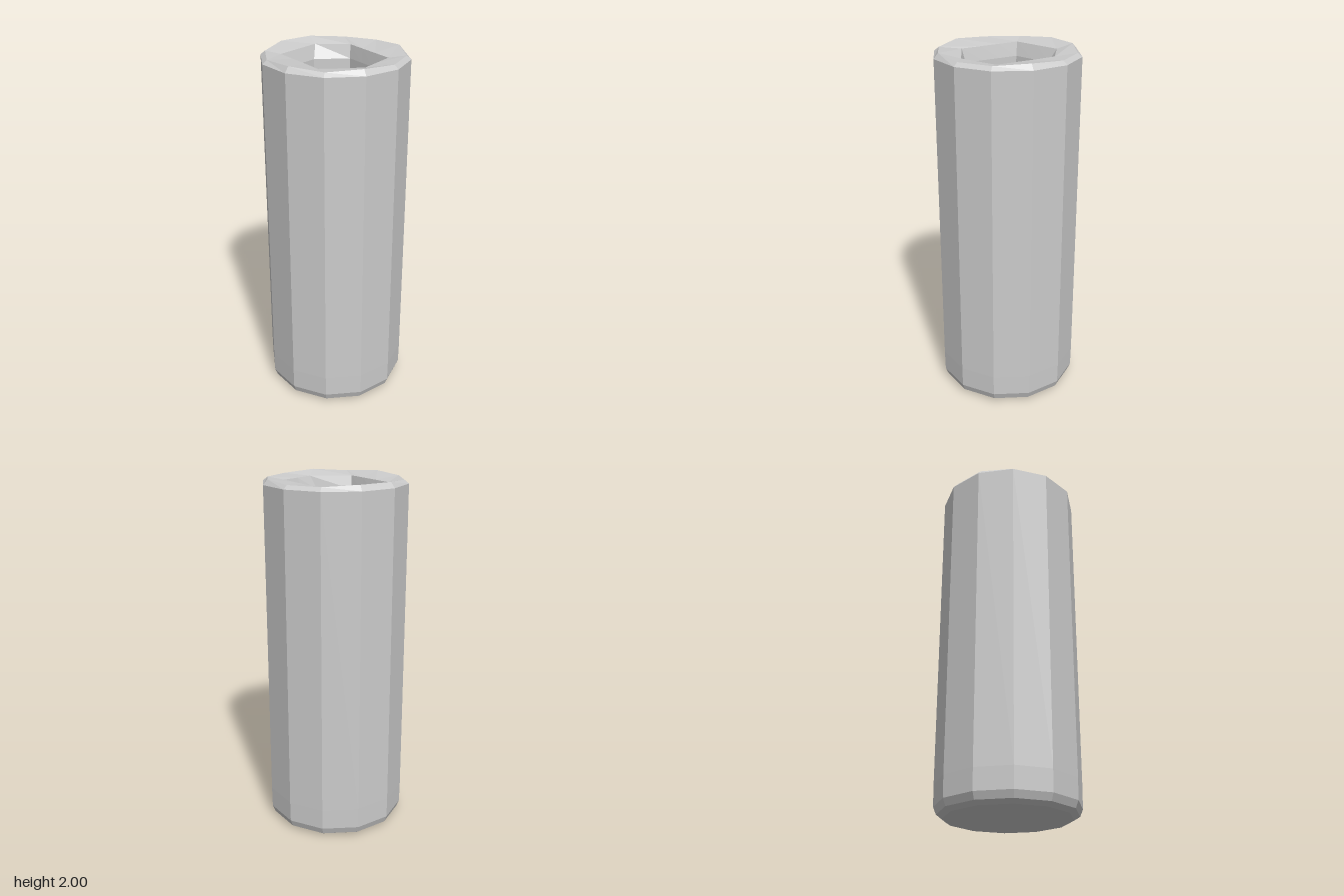
import * as THREE from 'three';

const SIDES = 12;

// Twelve-sided ring of the outer wall
function outerRing(radius, y) {
  return Array.from({ length: SIDES }, (_, k) => {
    const a = (k / SIDES) * Math.PI * 2;
    return new THREE.Vector3(Math.cos(a) * radius, y, Math.sin(a) * radius);
  });
}

// Uneven six-sided ring of the cavity, split to twelve points to match the outer wall
const SLOTS = [0, 2, 3, 6, 8, 9];
function innerRing(corners, y) {
  const ring = [];
  corners.forEach(([x, z], i) => {
    const [nx, nz] = corners[(i + 1) % 6];
    const steps = (i === 5 ? SIDES : SLOTS[i + 1]) - SLOTS[i];
    for (let s = 0; s < steps; s++) {
      const t = s / steps;
      ring.push(new THREE.Vector3(x + (nx - x) * t, y, z + (nz - z) * t));
    }
  });
  return ring;
}

// Skin consecutive rings, with optional flat caps at the first and last ring
function skin(rings, capFirst, capLast) {
  const pos = [];
  const tri = (...pts) => pts.forEach((p) => pos.push(p.x, p.y, p.z));
  const centre = (ring) => new THREE.Vector3(0, ring[0].y, 0);
  for (let i = 0; i < rings.length - 1; i++) {
    for (let k = 0; k < SIDES; k++) {
      const n = (k + 1) % SIDES;
      const [a, b, c, d] = [rings[i][k], rings[i][n], rings[i + 1][n], rings[i + 1][k]];
      tri(a, d, c);
      tri(a, c, b);
    }
  }
  const first = rings[0];
  const last = rings[rings.length - 1];
  for (let k = 0; k < SIDES; k++) {
    const n = (k + 1) % SIDES;
    if (capFirst) tri(centre(first), first[k], first[n]);
    if (capLast) tri(centre(last), last[n], last[k]);
  }
  const geo = new THREE.BufferGeometry();
  geo.setAttribute('position', new THREE.Float32BufferAttribute(pos, 3));
  geo.computeVertexNormals();
  return geo;
}

export function createModel() {
  const group = new THREE.Group();
  group.name = 'tumbler';
  const material = new THREE.MeshStandardMaterial({ color: 0xcccccc, flatShading: true });
  const add = (name, geometry) => {
    const mesh = new THREE.Mesh(geometry, material);
    mesh.name = name;
    group.add(mesh);
  };

  const mouth = [[0.28, 0], [0.18, 0.205], [-0.05, 0.26], [-0.29, 0], [-0.145, -0.245], [0.05, -0.26]];
  const cavity = [[0.265, 0], [0.14, 0.205], [-0.05, 0.24], [-0.265, 0], [-0.145, -0.2], [0.05, -0.245]];

  // Rounded base with its flat underside
  add('base', skin([
    outerRing(0.35, 0), outerRing(0.382, 0.02), outerRing(0.398, 0.06), outerRing(0.4, 0.18),
  ], true, false));

  // Straight outer wall
  add('outerWall', skin([outerRing(0.4, 0.18), outerRing(0.4, 1.97)], false, false));

  // Bevelled rim, dipping slightly in places, down into the mouth
  const crest = outerRing(0.375, 1.99);
  crest.forEach((p, k) => { if ([2, 4, 7, 8, 11].includes(k)) p.y = 2; });
  add('rim', skin([outerRing(0.4, 1.97), crest, innerRing(mouth, 1.975), innerRing(cavity, 1.9)], false, false));

  // Six-sided cavity with its floor
  add('cavity', skin([innerRing(cavity, 1.9), innerRing(cavity, 0.18)], false, true));

  return group;
}
